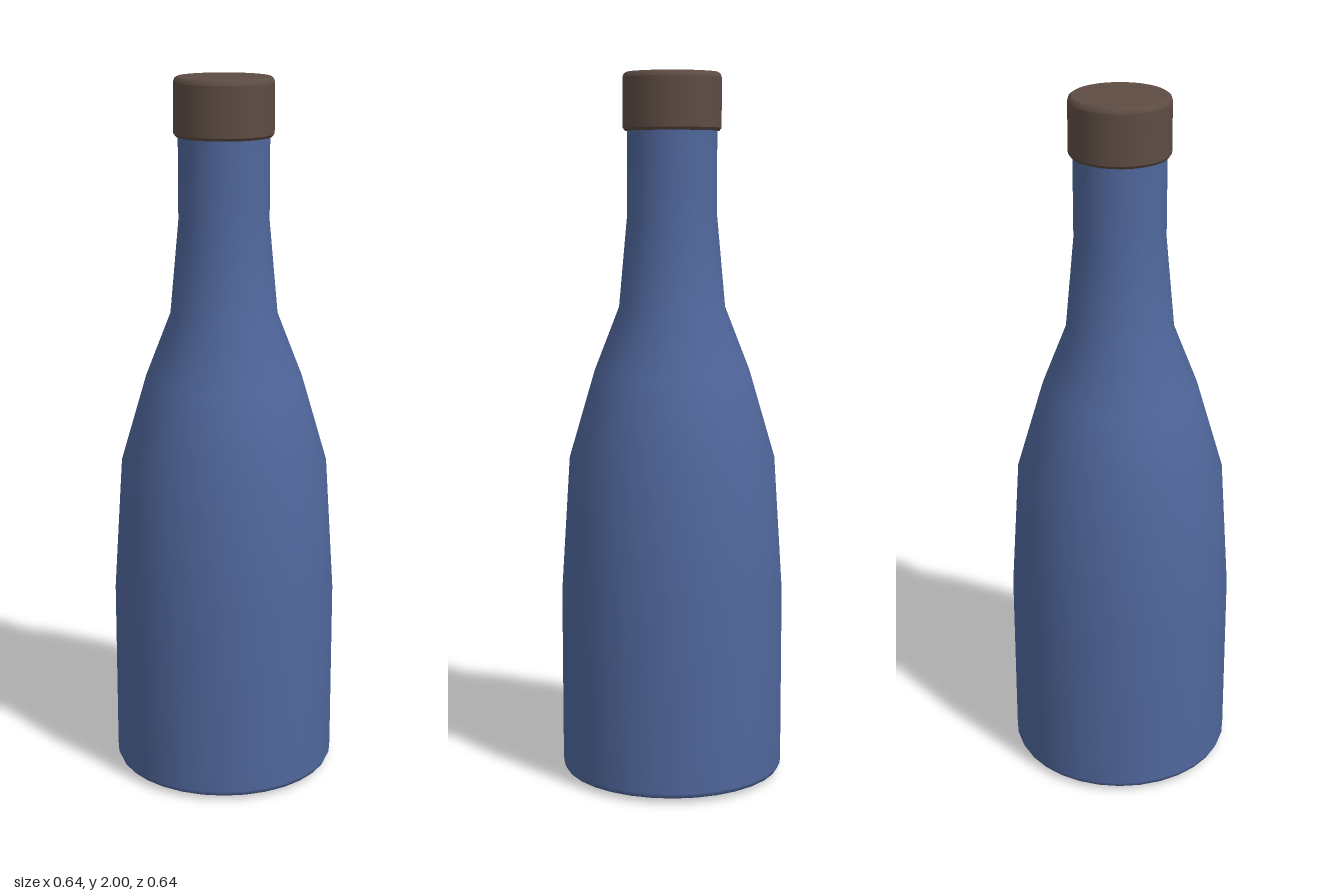
import * as THREE from 'three';

// Turn a bottom-to-top profile; a repeated point keeps that edge sharp.
function turned(name, profile, sides, color) {
  const points = profile.map(([r, y]) => new THREE.Vector2(r, y));
  const mesh = new THREE.Mesh(
    new THREE.LatheGeometry(points, sides),
    new THREE.MeshStandardMaterial({ color })
  );
  mesh.name = name;
  return mesh;
}

export function createModel() {
  const model = new THREE.Group();
  model.name = 'bottle';

  // Glass body: softened base, tapering belly, shoulder and straight neck
  model.add(turned('body', [
    [0, 0], [0.22, 0.002], [0.295, 0.008], [0.312, 0.014], [0.318, 0.028],
    [0.318, 0.53], [0.293, 0.92], [0.22, 1.17], [0.15, 1.35],
    [0.126, 1.61], [0.126, 1.86],
  ], 32, 0x50679c));

  // Stopper cap: overhangs the neck, with slightly rounded rims
  model.add(turned('cap', [
    [0, 1.84], [0.132, 1.84], [0.132, 1.84], [0.138, 1.848], [0.138, 1.848],
    [0.138, 1.985], [0.138, 1.985], [0.135, 1.995], [0.128, 2], [0.128, 2], [0, 2],
  ], 48, 0x5e4c43));

  return model;
}
